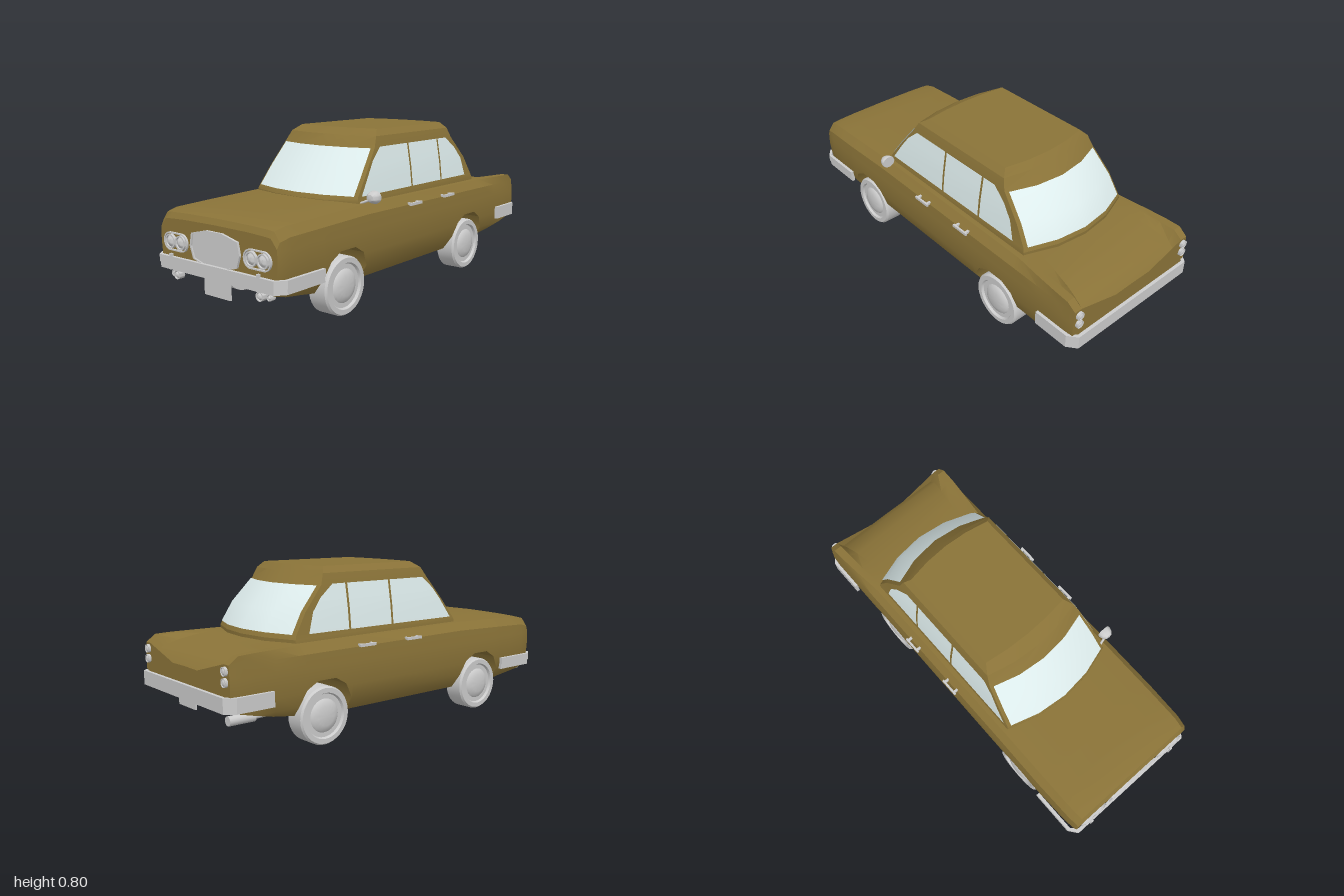
import * as THREE from 'three';
import { toCreasedNormals } from 'three/addons/utils/BufferGeometryUtils.js';

const paint = new THREE.MeshStandardMaterial({ color: 0x8a7338 });
const grey = new THREE.MeshStandardMaterial({ color: 0xcccccc });
const glass = new THREE.MeshStandardMaterial({ color: 0xdfeeee, side: THREE.DoubleSide });

// Linear lookup of column k in rows sorted by descending first column
function look(rows, v, k = 1) {
  if (v >= rows[0][0]) return rows[0][k];
  for (let i = 1; i < rows.length; i++) {
    const a = rows[i - 1], b = rows[i];
    if (v >= b[0]) return b[k] + (a[k] - b[k]) * (v - b[0]) / (a[0] - b[0]);
  }
  return rows[rows.length - 1][k];
}

// Skin over a series of rows; closed rows are joined up and capped at both ends
function loft(rows, closed, crease = 0.5) {
  const pos = [], n = rows[0].length;
  const tri = (a, b, c) => {
    const area = b.clone().sub(a).cross(c.clone().sub(a)).length();
    if (area > 1e-9) pos.push(...a, ...b, ...c);
  };
  for (let i = 0; i + 1 < rows.length; i++) {
    for (let j = 0; j < (closed ? n : n - 1); j++) {
      const k = (j + 1) % n, p = rows[i], q = rows[i + 1];
      tri(p[j], q[j], p[k]);
      tri(p[k], q[j], q[k]);
    }
  }
  if (closed) {
    const cap = (ring, flip) => {
      const c = new THREE.Vector3();
      ring.forEach((p) => c.addScaledVector(p, 1 / n));
      ring.forEach((p, j) => {
        const q = ring[(j + 1) % n];
        if (flip) tri(c, q, p); else tri(c, p, q);
      });
    };
    cap(rows[0], false);
    cap(rows[rows.length - 1], true);
  }
  const g = new THREE.BufferGeometry();
  g.setAttribute('position', new THREE.Float32BufferAttribute(pos, 3));
  return toCreasedNormals(g, crease);
}

const V = (x, y, z) => new THREE.Vector3(x, y, z);

export function createModel() {
  const model = new THREE.Group();
  const car = new THREE.Group();
  car.name = 'car';
  car.position.x = -0.0075; // the single mirror shifts the bounding box
  model.add(car);

  const add = (name, geo, mat, x = 0, y = 0, z = 0) => {
    const m = new THREE.Mesh(geo, mat);
    m.name = name;
    m.position.set(x, y, z);
    car.add(m);
    return m;
  };
  const box = (name, w, h, d, x, y, z) => add(name, new THREE.BoxGeometry(w, h, d), grey, x, y, z);
  // Round lamp facing along z, dir = 1 front, -1 rear
  const lamp = (name, r, depth, x, y, z, dir = 1) => {
    const pts = [[0, 0], [r, 0], [r, depth], [r * 0.8, depth], [r * 0.75, depth * 0.8], [r * 0.4, depth * 1.1], [0, depth * 1.2]];
    const g = new THREE.LatheGeometry(pts.map((p) => new THREE.Vector2(...p)), 24);
    add(name, toCreasedNormals(g, 0.6), grey, x, y, z).rotation.x = dir * Math.PI / 2;
  };

  // Lower body: [z, underside height], with wheel arches running right across
  const stations = [[0.97, 0.2], [0.955, 0.18], [0.9, 0.165], [0.8, 0.148], [0.705, 0.13],
    [0.7, 0.2], [0.66, 0.27], [0.6, 0.305], [0.5, 0.305], [0.44, 0.27], [0.405, 0.2], [0.4, 0.13],
    [0, 0.13], [-0.325, 0.13], [-0.33, 0.2], [-0.37, 0.27], [-0.43, 0.305], [-0.53, 0.305],
    [-0.59, 0.27], [-0.625, 0.2], [-0.63, 0.155], [-0.75, 0.175], [-0.85, 0.2], [-0.93, 0.22], [-0.975, 0.25]];
  const flank = [[0.44, 0.376], [0.37, 0.383], [0.32, 0.385], [0.26, 0.38], [0.2, 0.37], [0.13, 0.32]];
  // [z, width factor, shoulder height, shoulder x, fin inner x, deck edge x, deck edge y, deck centre y]
  const shape = [[0.97, 0.95, 0.42, 0.33, 0.3, 0.2, 0.428, 0.43], [0.955, 0.965, 0.447, 0.335, 0.3, 0.2, 0.454, 0.456],
    [0.9, 0.985, 0.46, 0.34, 0.3, 0.2, 0.467, 0.47], [0.7, 1, 0.467, 0.342, 0.3, 0.2, 0.475, 0.478],
    [0.4, 1, 0.475, 0.342, 0.3, 0.2, 0.483, 0.486], [-0.6, 1, 0.468, 0.345, 0.31, 0.25, 0.472, 0.475],
    [-0.72, 1, 0.467, 0.36, 0.325, 0.27, 0.466, 0.47], [-0.85, 1, 0.466, 0.372, 0.33, 0.29, 0.44, 0.447],
    [-0.93, 1, 0.463, 0.376, 0.335, 0.305, 0.412, 0.418], [-0.975, 0.99, 0.43, 0.374, 0.335, 0.308, 0.365, 0.37]];
  const bodyRings = stations.map(([z, b]) => {
    const [wf, ys, xs, xf, xd, yd, yc] = [1, 2, 3, 4, 5, 6, 7].map((k) => look(shape, z, k));
    const half = [0.13, 0.2, 0.26, 0.32, 0.37, ys - 0.04].map((l) => {
      const y = Math.max(l, b);
      return [look(flank, y) * wf, y];
    });
    half.push([xs, ys], [xf, Math.max(ys, Math.min(ys + 0.003, yd))], [xd, yd]);
    const left = half.map(([x, y]) => V(x, y, z));
    const right = half.map(([x, y]) => V(-x, y, z)).reverse();
    return [V(0, b, z), ...left, V(0, yc, z), ...right];
  });
  add('body', loft(bodyRings, true), paint);

  // Cabin: [y, half width, front centre z, front corner z, rear corner z, rear centre z]
  const cabin = [[0.795, 0.24, 0.18, 0.16, -0.39, -0.42], [0.765, 0.27, 0.245, 0.205, -0.415, -0.455],
    [0.715, 0.285, 0.29, 0.235, -0.435, -0.505], [0.6, 0.304, 0.39, 0.325, -0.54, -0.62],
    [0.5, 0.315, 0.465, 0.4, -0.6, -0.675], [0.485, 0.32, 0.472, 0.405, -0.605, -0.682], [0.44, 0.32, 0.472, 0.405, -0.605, -0.682]];
  const bowed = (u, y, c, k) => {
    const zc = look(cabin, y, c), zk = look(cabin, y, k);
    return V(u * look(cabin, y), y, zc + (zk - zc) * u * u);
  };
  const us = [-1, -0.5, 0, 0.5, 1];
  const cabinRings = cabin.map(([y]) => [
    ...us.map((u) => bowed(u, y, 2, 3)), ...us.map((u) => bowed(-u, y, 5, 4))]);
  add('cabin', loft(cabinRings, true, 0.4), paint);

  // Windscreen and rear window follow the cabin skin
  const screenUs = [-0.95, -0.5, 0, 0.5, 0.95];
  const screen = (name, c, k, dir) => add(name, loft([0.71, 0.6, 0.505].map((y) =>
    screenUs.map((u) => bowed(u * dir, y, c, k).add(V(0, 0.002, dir * 0.005)))), false), glass);
  screen('windscreen', 2, 3, 1);
  screen('rearWindow', 5, 4, -1);

  // Side windows: [y, front edge z, rear edge z], split by two pillars
  const opening = [[0.717, 0.2, -0.375], [0.66, 0.265, -0.45], [0.6, 0.31, -0.5], [0.505, 0.375, -0.53]];
  for (const s of [1, -1]) {
    const pane = (name, front, rear) => add(name, loft(opening.map((r) => {
      const x = s * (look(cabin, r[0]) + 0.004);
      const ends = [V(x, r[0], front ?? r[1]), V(x, r[0], rear ?? r[2])];
      return s > 0 ? ends : ends.reverse();
    }), false), glass);
    pane('frontSideWindow', null, -0.022);
    pane('rearSideWindow', -0.034, -0.288);
    pane('quarterWindow', -0.3, null);

    // Door handles
    for (const z of [0.045, -0.25]) {
      box('doorHandle', 0.01, 0.013, 0.095, s * 0.394, 0.437, z);
      for (const e of [-0.035, 0.035]) box('handlePost', 0.025, 0.012, 0.012, s * 0.382, 0.437, z + e);
    }

    // Wheels with raised rim and domed hubcap
    const prof = [[0, -0.05], [0.135, -0.05], [0.135, 0.04], [0.128, 0.05], [0.106, 0.05], [0.1, 0.038],
      [0.078, 0.038], [0.07, 0.046], [0.045, 0.054], [0, 0.056]].map((p) => new THREE.Vector2(...p));
    for (const z of [0.55, -0.48]) {
      const g = toCreasedNormals(new THREE.LatheGeometry(prof, 36), 0.5);
      add(z > 0 ? 'frontWheel' : 'rearWheel', g, grey, s * 0.32, 0.135, z).rotation.z = -s * Math.PI / 2;
    }

    // Headlamp pair in a long rounded bezel
    const stadium = (Cls, r) => new Cls().absarc(0.038, 0, r, -Math.PI / 2, Math.PI / 2).absarc(-0.038, 0, r, Math.PI / 2, Math.PI * 1.5);
    const bezel = stadium(THREE.Shape, 0.042);
    bezel.holes.push(stadium(THREE.Path, 0.036));
    add('headlampBezel', new THREE.ExtrudeGeometry(bezel, { depth: 0.025, bevelEnabled: false, curveSegments: 14 }), grey, s * 0.257, 0.322, 0.955);
    for (const x of [0.223, 0.291]) lamp('headlamp', 0.033, 0.03, s * x, 0.322, 0.953);

    // Fog lamps, bumper guards and tail lamps
    lamp('fogLamp', 0.021, 0.03, s * 0.262, 0.17, 0.945);
    lamp('smallLamp', 0.014, 0.025, s * 0.303, 0.168, 0.935);
    box('bumperGuard', 0.012, 0.073, 0.014, s * 0.275, 0.234, 0.99);
    for (const y of [0.355, 0.402]) lamp('tailLamp', 0.02, 0.02, s * 0.348, y, -0.968, -1);
  }

  // Grille panel with a raised rim
  const grilleShape = (k, Cls) => {
    const q = [[0.157, 0], [0.145, 0.058], [0.05, 0.081]];
    const up = [...q, ...q.map(([x, y]) => [-x, y]).reverse()];
    const low = [[-0.138, -0.055], [-0.05, -0.081], [0.05, -0.081], [0.138, -0.055]];
    return new Cls([...up, ...low].map(([x, y]) => new THREE.Vector2(x * k, y * k)));
  };
  const rim = grilleShape(1, THREE.Shape);
  rim.holes.push(grilleShape(0.94, THREE.Path));
  const slab = (s, depth) => new THREE.ExtrudeGeometry(s, { depth, bevelEnabled: false });
  add('grilleRim', slab(rim, 0.026), grey, 0, 0.322, 0.955);
  add('grille', slab(grilleShape(0.96, THREE.Shape), 0.02), grey, 0, 0.322, 0.955);

  // Wrap-around bumpers: U-shaped plan, extruded downwards
  const bumper = (name, hw, tip, end, top, height) => {
    const side = (t) => [[hw - t, end], [hw - t, tip - 0.045], [hw - 0.035 - t * 0.5, tip - t]];
    const half = (t) => [...side(t), ...side(t).map(([x, z]) => [-x, z]).reverse()];
    const pts = [...half(0), ...half(0.016).reverse()].map((p) => new THREE.Vector2(...p));
    const g = slab(new THREE.Shape(pts), height).rotateX(Math.PI / 2);
    return add(name, g, grey, 0, top, 0);
  };
  bumper('frontBumper', 0.395, 0.99, 0.715, 0.255, 0.035);
  bumper('frontBumperLower', 0.391, 0.987, 0.715, 0.222, 0.028);
  bumper('rearBumper', 0.398, 1.0, 0.77, 0.297, 0.068).rotation.y = Math.PI;

  // Number plates
  box('frontPlate', 0.164, 0.076, 0.008, 0, 0.152, 0.965);
  box('rearPlate', 0.15, 0.06, 0.008, 0, 0.215, -0.965);

  // Exhaust pipe with a wider tip
  const pipe = (r, len, z) => {
    add('exhaust', new THREE.CylinderGeometry(r, r, len, 16), grey, -0.27, 0.168, z).rotation.x = Math.PI / 2;
  };
  pipe(0.012, 0.25, -0.74);
  pipe(0.022, 0.13, -0.86);

  // Door mirror on the left side only
  const arm = new THREE.LineCurve3(V(0.315, 0.475, 0.385), V(0.375, 0.5, 0.37));
  add('mirrorArm', new THREE.TubeGeometry(arm, 1, 0.006, 8), grey);
  const head = [[0, -0.02], [0.034, -0.02], [0.036, -0.012], [0.03, 0.008], [0.018, 0.022], [0, 0.026]].map((p) => new THREE.Vector2(...p));
  const mirror = add('mirrorHead', toCreasedNormals(new THREE.LatheGeometry(head, 24), 0.6), grey, 0.374, 0.506, 0.365);
  mirror.rotation.x = Math.PI / 2;
  mirror.scale.z = 0.85;

  return model;
}
